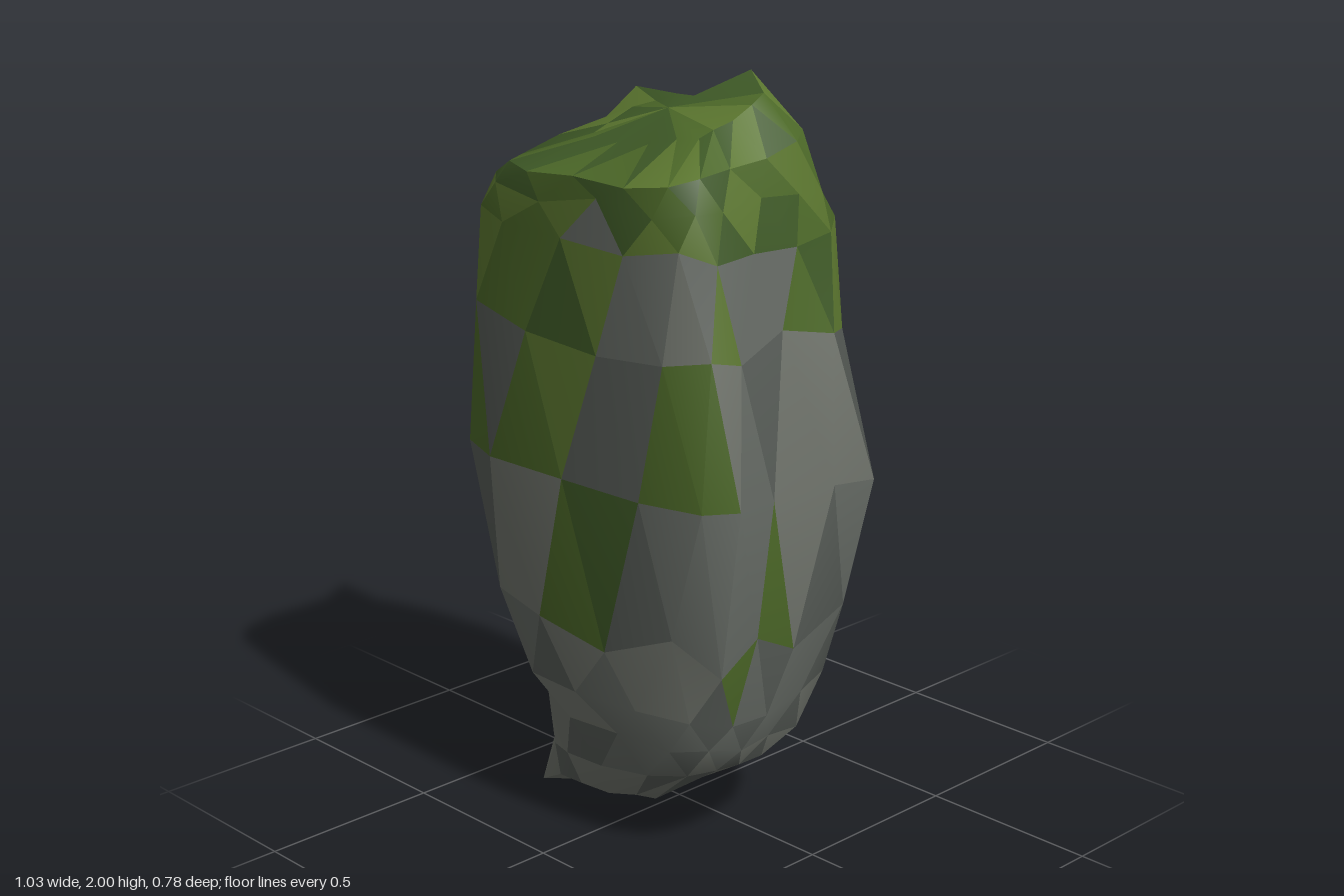
import * as THREE from 'three';
import { toCreasedNormals } from 'three/addons/utils/BufferGeometryUtils.js';

const SIDES = 16;

// small seeded random
function seeded(seed) {
  return () => {
    seed = (seed * 16807) % 2147483647;
    return seed / 2147483647;
  };
}

// plan outlines near the foot, the waist and the shoulder, as x, z from +x round by +z
const outlines = [
  [[0.4, 0.02], [0.4, 0.14], [0.37, 0.25], [0.27, 0.32], [0.08, 0.355], [-0.13, 0.36], [-0.31, 0.29], [-0.4, 0.19],
    [-0.48, 0.08], [-0.51, -0.06], [-0.45, -0.2], [-0.34, -0.29], [-0.15, -0.365], [0.08, -0.33], [0.28, -0.27], [0.37, -0.14]],
  [[0.45, 0.03], [0.475, 0.2], [0.45, 0.28], [0.35, 0.355], [0.1, 0.375], [-0.18, 0.39], [-0.42, 0.375], [-0.49, 0.29],
    [-0.52, 0.14], [-0.505, -0.08], [-0.46, -0.22], [-0.34, -0.31], [-0.12, -0.345], [0.14, -0.335], [0.35, -0.28], [0.49, -0.19]],
  [[0.355, 0.02], [0.365, 0.18], [0.35, 0.27], [0.25, 0.335], [0.05, 0.35], [-0.18, 0.355], [-0.39, 0.33], [-0.46, 0.27],
    [-0.5, 0.13], [-0.48, -0.05], [-0.42, -0.17], [-0.32, -0.24], [-0.1, -0.28], [0.2, -0.31], [0.33, -0.25], [0.365, -0.12]],
].map((points) => {
  const curve = new THREE.CatmullRomCurve3(points.map(([x, z]) => new THREE.Vector3(x, 0, z)), true);
  const box = new THREE.Box3().setFromPoints(curve.points);
  return { curve, box };
});

// rings from bottom to top: y, outline blend, x range, z range, slope along x, slope along z, height jitter
const rings = [
  [0.08, 0, -0.34, 0.11, -0.04, 0.22, 0.12, 0, 0.015],
  [0.19, 0, -0.37, 0.35, -0.16, 0.30, 0.15, 0, 0.015],
  [0.31, 0, -0.40, 0.39, -0.27, 0.34, 0, 0, 0.02],
  [0.41, 0, -0.51, 0.41, -0.36, 0.36, 0, 0, 0.02],
  [0.60, 0.45, -0.515, 0.46, -0.375, 0.38, 0, 0, 0.05],
  [1.00, 1, -0.52, 0.49, -0.345, 0.39, 0, 0, 0],
  [1.38, 1.55, -0.515, 0.42, -0.315, 0.37, 0, 0, 0.05],
  [1.62, 2, -0.50, 0.37, -0.31, 0.355, 0, 0, 0.02],
  [1.72, 2, -0.44, 0.35, -0.25, 0.35, 0.03, 0, 0.02],
  [1.82, 2, -0.37, 0.32, -0.21, 0.345, 0.05, -0.13, 0.01],
  [1.89, 2, -0.20, 0.21, -0.14, 0.17, 0.1, -0.25, 0.01],
];

// distinct corners: the closest vertex is pulled here and its neighbours follow softly
const corners = [
  [-0.34, 0.0, 0.2], [0.515, 1.0, -0.19], [-0.21, 0.55, -0.39],
  [-0.35, 1.9, -0.18], [0.1, 2.0, -0.155],
];

// point on an outline, from 0 to 1 across its own width and depth
function unitPoint({ curve, box }, t) {
  const p = curve.getPoint(t);
  return [(p.x - box.min.x) / (box.max.x - box.min.x), (p.z - box.min.z) / (box.max.z - box.min.z)];
}

function boulderGeometry() {
  const rand = seeded(4271);
  const pts = [];

  rings.forEach(([y, blend, x0, x1, z0, z1, sx, sz, jy], k) => {
    const lower = Math.min(Math.floor(blend), 1);
    for (let i = 0; i < SIDES; i++) {
      const t = ((i + (k % 2) * 0.5) / SIDES) % 1;
      const a = unitPoint(outlines[lower], t), b = unitPoint(outlines[lower + 1], t);
      const r = 1 - rand() * 0.015;
      const u = THREE.MathUtils.lerp(a[0], b[0], blend - lower) - 0.5;
      const v = THREE.MathUtils.lerp(a[1], b[1], blend - lower) - 0.5;
      const x = (x0 + x1) / 2 + (x1 - x0) * u * r;
      const z = (z0 + z1) / 2 + (z1 - z0) * v * r;
      pts.push([x, y + sx * x + sz * z + (rand() - 0.5) * 2 * jy, z]);
    }
  });

  const dist = (p, q) => Math.hypot(p[0] - q[0], p[1] - q[1], p[2] - q[2]);
  for (const c of corners) {
    const near = pts.reduce((best, p) => (dist(p, c) < dist(best, c) ? p : best));
    const from = [...near];
    for (const p of pts) {
      const w = p === near ? 1 : 0.4 * Math.exp(-((dist(p, from) / 0.12) ** 2));
      for (let a = 0; a < 3; a++) p[a] += (c[a] - from[a]) * w;
    }
  }

  const bottom = pts.push([-0.08, 0.045, 0.08]) - 1;
  const top = pts.push([-0.02, 1.91, 0.02]) - 1;
  const at = (k, i) => k * SIDES + (i % SIDES);
  const faces = [];
  const last = rings.length - 1;

  // staggered triangles between neighbouring rings, then the two caps
  for (let i = 0; i < SIDES; i++) {
    faces.push(bottom, at(0, i), at(0, i + 1));
    for (let k = 0; k < last; k++) {
      const a = at(k, i), b = at(k, i + 1), c = at(k + 1, i), d = at(k + 1, i + 1);
      if (k % 2 === 0) faces.push(a, c, b, c, d, b);
      else faces.push(a, c, d, a, d, b);
    }
    faces.push(top, at(last, i + 1), at(last, i));
  }

  const geo = new THREE.BufferGeometry();
  geo.setAttribute('position', new THREE.Float32BufferAttribute(pts.flat(), 3));
  geo.setIndex(faces);
  return toCreasedNormals(geo, 0.5);
}

// chance that a face at this height is overgrown
function mossChance(y) {
  if (y > 1.69) return 1;
  if (y > 1.5) return 0.72;
  if (y > 1.05) return 0.4;
  if (y > 0.52) return 0.15;
  return 0;
}

export function createModel() {
  const group = new THREE.Group();
  group.name = 'mossyBoulder';
  const source = boulderGeometry();
  const pos = source.attributes.position;
  const nor = source.attributes.normal;
  const rand = seeded(913);

  // sort the faces into shades of bare stone and of moss
  const makePart = ([name, color]) => ({ name, color, position: [], normal: [] });
  const stone = [['stoneMid', 0x646963], ['stoneDark', 0x575c57], ['stoneLight', 0x70746c]].map(makePart);
  const moss = [['mossMid', 0x4c6828], ['mossDark', 0x3e5926], ['mossLight', 0x5b762f]].map(makePart);

  for (let f = 0; f < pos.count; f += 3) {
    const y = (pos.getY(f) + pos.getY(f + 1) + pos.getY(f + 2)) / 3;
    const shades = rand() < mossChance(y) ? moss : stone;
    const part = shades[Math.floor(rand() * 3)];
    for (let v = f; v < f + 3; v++) {
      part.position.push(pos.getX(v), pos.getY(v), pos.getZ(v));
      part.normal.push(nor.getX(v), nor.getY(v), nor.getZ(v));
    }
  }

  for (const p of [...stone, ...moss]) {
    const geo = new THREE.BufferGeometry();
    geo.setAttribute('position', new THREE.Float32BufferAttribute(p.position, 3));
    geo.setAttribute('normal', new THREE.Float32BufferAttribute(p.normal, 3));
    const mesh = new THREE.Mesh(geo, new THREE.MeshStandardMaterial({ color: p.color }));
    mesh.name = p.name;
    group.add(mesh);
  }
  return group;
}
